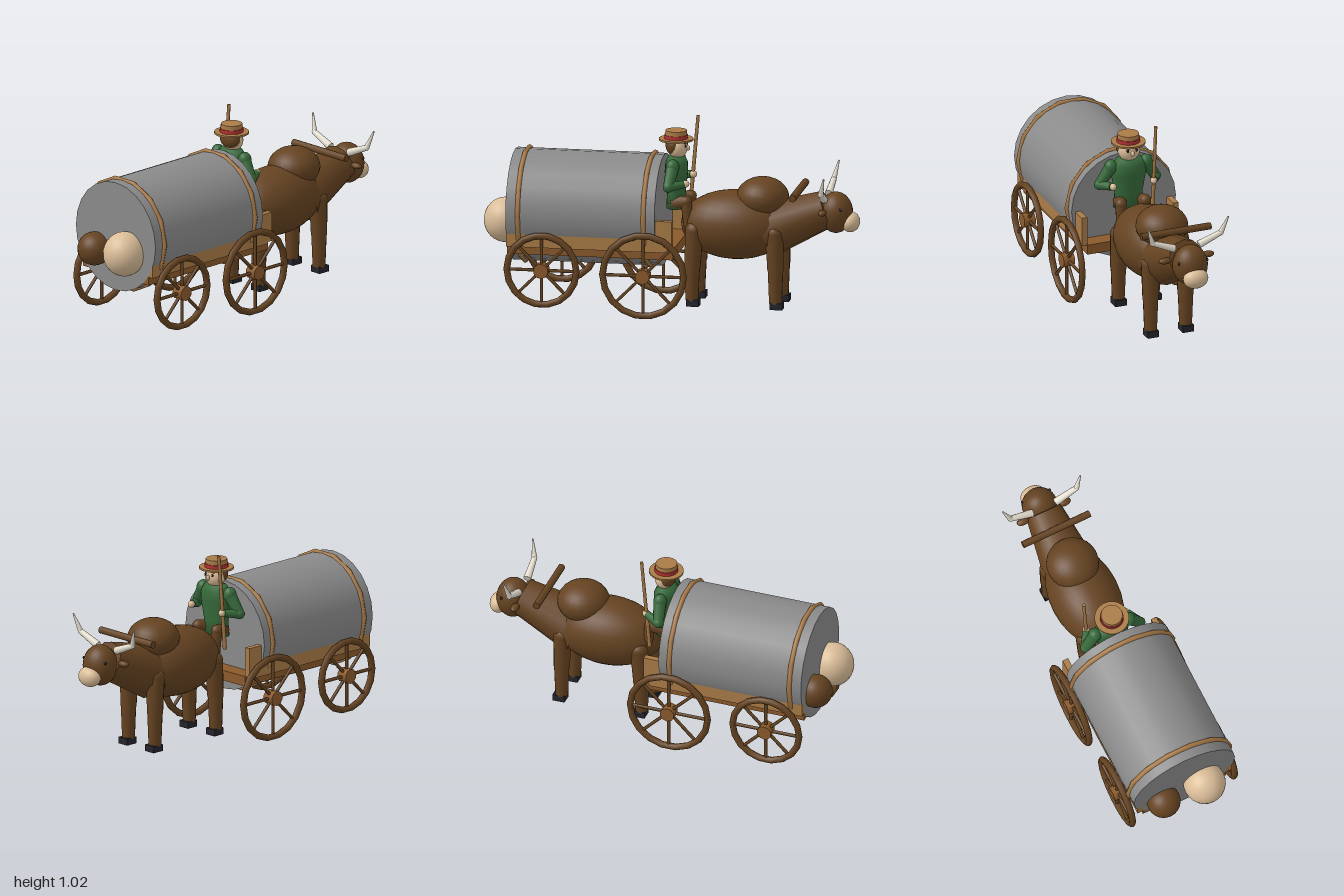
import * as THREE from 'three';

const mat = (name, color) => {
  const m = new THREE.MeshStandardMaterial({ color });
  m.name = name;
  return m;
};

export function createModel() {
  const brown = mat('dark brown', 0x654321);
  const wood = mat('wood', 0x8b5a2b);
  const paleWood = mat('pale wood', 0xaa7b47);
  const grey = mat('barrel grey', 0x8a8a8a);
  const cream = mat('cream', 0xdabd98);
  const ivory = mat('ivory', 0xe6dfd0);
  const green = mat('coat green', 0x36693a);
  const red = mat('ribbon red', 0xb03030);
  const dark = mat('charcoal', 0x24242c);

  const V = (p) => new THREE.Vector3(...p);
  const root = new THREE.Group();
  root.name = 'oxCart';
  const group = (name) => {
    const g = new THREE.Group();
    g.name = name;
    root.add(g);
    return g;
  };
  const add = (parent, name, geo, material, pos = [0, 0, 0]) => {
    const m = new THREE.Mesh(geo, material);
    m.name = name;
    m.position.set(...pos);
    parent.add(m);
    return m;
  };
  const box = (p, name, material, size, pos) =>
    add(p, name, new THREE.BoxGeometry(...size), material, pos);
  const ball = (p, name, material, radii, pos) => {
    const m = add(p, name, new THREE.SphereGeometry(1, 24, 16), material, pos);
    m.scale.set(...radii);
    return m;
  };
  // Tapered rod from point a (radius ra) to point b (radius rb)
  const rod = (p, name, material, a, b, ra, rb = ra, sides = 12) => {
    const A = V(a), B = V(b), d = B.clone().sub(A);
    const m = add(p, name, new THREE.CylinderGeometry(rb, ra, d.length(), sides), material);
    m.position.copy(A).add(B).multiplyScalar(0.5);
    m.quaternion.setFromUnitVectors(new THREE.Vector3(0, 1, 0), d.normalize());
    return m;
  };
  const both = (fn) => [1, -1].forEach(fn);

  // Barrel lying along x, with two hoops
  const cart = group('cart');
  rod(cart, 'barrel', grey, [-0.85, 0.532, 0], [-0.05, 0.532, 0], 0.298, 0.298, 24);
  for (const x of [-0.785, -0.11]) {
    const hoop = add(cart, 'hoop', new THREE.TorusGeometry(0.3, 0.014, 6, 14), paleWood, [x, 0.532, 0]);
    hoop.rotation.y = Math.PI / 2;
  }

  // Bed, side rails and front posts
  box(cart, 'bed', wood, [0.89, 0.055, 0.49], [-0.405, 0.342, 0]);
  both((s) => {
    box(cart, 'sideRail', paleWood, [0.86, 0.07, 0.032], [-0.42, 0.395, s * 0.261]);
    box(cart, 'frontPost', paleWood, [0.09, 0.16, 0.032], [-0.005, 0.45, s * 0.261]);
  });

  // Wheels: rim, eight spokes and hub
  for (const [x, y, r] of [[-0.655, 0.245, 0.205], [-0.11, 0.236, 0.236]]) {
    both((s) => {
      const wheel = new THREE.Group();
      wheel.name = 'wheel';
      wheel.position.set(x, y, s * 0.301);
      cart.add(wheel);
      add(wheel, 'rim', new THREE.TorusGeometry(r - 0.018, 0.018, 8, 18), brown);
      for (let i = 0; i < 8; i++) {
        const a = (i * Math.PI) / 4;
        rod(wheel, 'spoke', brown, [0, 0, 0],
          [Math.cos(a) * (r - 0.015), Math.sin(a) * (r - 0.015), 0], 0.009, 0.009, 6);
      }
      rod(wheel, 'hub', wood, [0, 0, -0.032], [0, 0, 0.032], 0.04, 0.04, 10);
    });
  }

  // Round bundles hung behind the barrel
  const load = group('rearBundles');
  ball(load, 'paleBundle', cream, [0.115, 0.12, 0.113], [-0.885, 0.465, 0.1]);
  ball(load, 'brownBundle', brown, [0.09, 0.09, 0.09], [-0.875, 0.44, -0.135]);

  // Ox body, hump, neck and head
  const ox = group('ox');
  ball(ox, 'body', brown, [0.295, 0.185, 0.185], [0.335, 0.468, 0]);
  ball(ox, 'hump', brown, [0.14, 0.108, 0.14], [0.478, 0.622, 0]);
  rod(ox, 'neck', brown, [0.5, 0.445, 0], [0.825, 0.572, 0], 0.148, 0.1, 12);
  ball(ox, 'head', brown, [0.09, 0.11, 0.095], [0.872, 0.555, 0]);
  ball(ox, 'muzzle', cream, [0.05, 0.054, 0.069], [0.95, 0.506, 0]);
  rod(ox, 'yoke', brown, [0.673, 0.665, -0.198], [0.673, 0.665, 0.198], 0.02, 0.02, 8);
  both((s) => {
    ball(ox, 'ear', brown, [0.022, 0.017, 0.036], [0.82, 0.575, s * 0.122]);
    ball(ox, 'oxEye', dark, [0.008, 0.009, 0.006], [0.912, 0.587, s * 0.081]);
    rod(ox, 'hornBase', ivory, [0.82, 0.638, s * 0.07], [0.825, 0.69, s * 0.195], 0.021, 0.015, 10);
    ball(ox, 'hornBend', ivory, [0.015, 0.015, 0.015], [0.825, 0.69, s * 0.195]);
    rod(ox, 'hornTip', ivory, [0.825, 0.69, s * 0.195], [0.847, 0.785, s * 0.229], 0.015, 0.004, 10);
    // Legs: upper, lower and hoof
    for (const [top, knee, foot] of [[0.56, 0.565, 0.565], [0.13, 0.118, 0.116]]) {
      rod(ox, 'upperLeg', brown, [top, 0.45, s * 0.1], [knee, 0.245, s * 0.1], 0.049, 0.043, 14);
      ball(ox, 'shoulder', brown, [0.049, 0.045, 0.049], [top, 0.45, s * 0.1]);
      rod(ox, 'lowerLeg', brown, [knee, 0.25, s * 0.1], [foot, 0.07, s * 0.1], 0.041, 0.034, 14);
      box(ox, 'hoof', dark, [0.068, 0.036, 0.064], [foot + 0.007, 0.058, s * 0.1]);
    }
  });

  // Driver torso: coat lathe, flattened front to back
  const driver = group('driver');
  const coat = [[0, 0.55], [0.085, 0.55], [0.078, 0.63], [0.098, 0.74], [0.095, 0.79], [0.07, 0.825], [0, 0.835]]
    .map((p) => new THREE.Vector2(...p));
  const torso = add(driver, 'coat', new THREE.LatheGeometry(coat, 20), green, [0.015, 0, 0]);
  torso.scale.x = 0.62;

  // Arms and legs
  both((s) => {
    const shoulder = [0.012, 0.785, s * 0.1], elbow = [0.0, 0.69, s * 0.16], wrist = [0.075, 0.7, s * 0.122];
    ball(driver, 'sleeveTop', green, [0.036, 0.042, 0.036], shoulder);
    rod(driver, 'upperArm', green, shoulder, elbow, 0.034, 0.028);
    ball(driver, 'elbow', green, [0.029, 0.029, 0.029], elbow);
    rod(driver, 'forearm', green, elbow, wrist, 0.027, 0.02);
    ball(driver, 'hand', cream, [0.02, 0.019, 0.018], [0.085, 0.702, s * 0.116]);
    const knee = [0.08, 0.595, s * 0.07];
    rod(driver, 'thigh', brown, [0.01, 0.58, s * 0.05], knee, 0.036, 0.031);
    ball(driver, 'knee', brown, [0.031, 0.031, 0.031], knee);
    rod(driver, 'shin', brown, knee, [0.1, 0.4, s * 0.075], 0.03, 0.024);
  });
  rod(driver, 'goad', paleWood, [0.065, 0.5, -0.117], [0.11, 1.022, -0.117], 0.011, 0.009, 8);

  // Head, hair and face
  ball(driver, 'face', cream, [0.052, 0.06, 0.06], [0.022, 0.872, 0]);
  ball(driver, 'hair', brown, [0.044, 0.054, 0.064], [0.002, 0.884, 0]);
  ball(driver, 'nose', cream, [0.014, 0.015, 0.01], [0.074, 0.87, 0]);
  both((s) => {
    ball(driver, 'eye', dark, [0.004, 0.009, 0.007], [0.068, 0.886, s * 0.025]);
    box(driver, 'eyebrow', brown, [0.006, 0.005, 0.022], [0.066, 0.902, s * 0.026]);
  });

  // Straw hat with ribbon
  const hat = (name, material, y0, y1, r0, r1) =>
    rod(driver, name, material, [0.013, y0, 0], [0.013, y1, 0], r0, r1, 24);
  hat('hatBrim', paleWood, 0.911, 0.921, 0.092, 0.092);
  hat('hatCrown', paleWood, 0.92, 0.965, 0.059, 0.057);
  hat('hatRibbon', red, 0.921, 0.941, 0.063, 0.062);

  return root;
}
